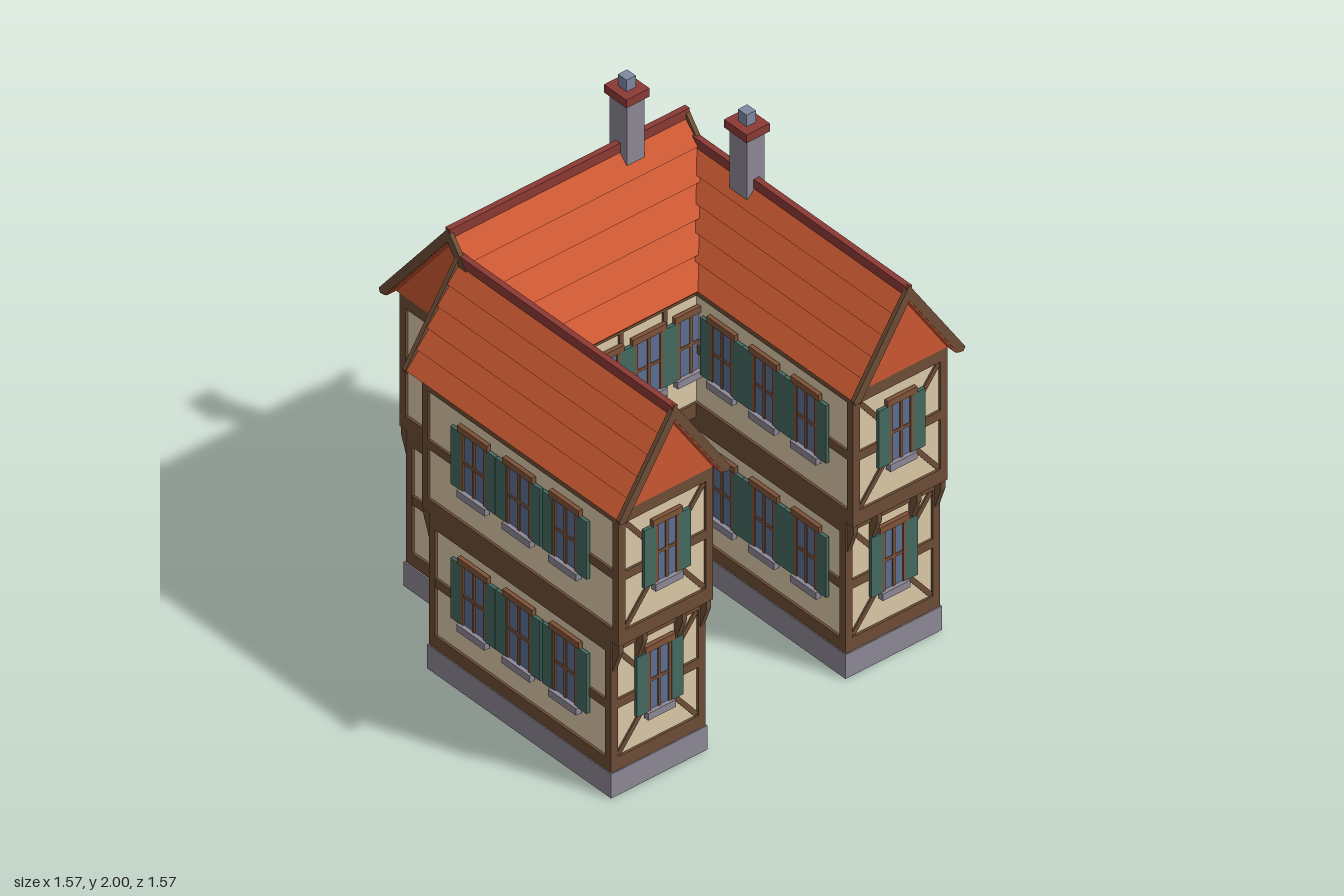
import * as THREE from 'three';

const mat = (name, color) => {
  const m = new THREE.MeshStandardMaterial({ color });
  m.name = name;
  return m;
};

export function createModel() {
  const plaster = mat('plaster', 0xdccaa9), timber = mat('timber', 0x6d4d36), frameWood = mat('frame wood', 0x7f5338);
  const stone = mat('stone', 0x8d8896), tile = mat('roof tile', 0xcb5832), ridgeRed = mat('ridge red', 0x8c3a34);
  const shutterGreen = mat('shutter green', 0x446a60), glass = mat('glass', 0x5d6f92), pot = mat('chimney pot', 0x8088a0);

  const house = new THREE.Group();
  house.name = 'timberHouse';

  const group = (parent, name) => {
    const g = new THREE.Group();
    g.name = name;
    parent.add(g);
    return g;
  };
  const mesh = (parent, name, geo, m) => {
    const o = new THREE.Mesh(geo, m);
    o.name = name;
    parent.add(o);
    return o;
  };
  // Box given by its min and max corners
  const box = (parent, name, m, x0, x1, y0, y1, z0, z1) => {
    const o = mesh(parent, name, new THREE.BoxGeometry(x1 - x0, y1 - y0, z1 - z0), m);
    o.position.set((x0 + x1) / 2, (y0 + y1) / 2, (z0 + z1) / 2);
    return o;
  };
  // Extruded outline, centred along its depth
  const prism = (parent, name, m, pts, depth) => {
    const shape = new THREE.Shape(pts.map(p => new THREE.Vector2(p[0], p[1])));
    const geo = new THREE.ExtrudeGeometry(shape, { depth, bevelEnabled: false });
    geo.translate(0, 0, -depth / 2);
    return mesh(parent, name, geo, m);
  };

  // Window with frame, cross bars, lintel, sill and a pair of shutters
  function windowUnit(parent, x, y0, y1, w, sh) {
    const g = group(parent, 'window');
    g.position.x = x;
    const h = w / 2;
    box(g, 'glass', glass, -h, h, y0, y1, -0.002, 0.003);
    for (const s of [-1, 1]) {
      box(g, 'jamb', frameWood, s * (h - 0.006) - 0.006, s * (h - 0.006) + 0.006, y0, y1, 0, 0.009);
      const c = s * (h + sh / 2);
      box(g, 'shutter', shutterGreen, c - sh / 2, c + sh / 2, y0, y1, -0.004, 0.01);
    }
    box(g, 'mullion', frameWood, -0.006, 0.006, y0, y1, 0, 0.008);
    const mid = y0 + (y1 - y0) * 0.5;
    box(g, 'transom', frameWood, -h, h, mid - 0.006, mid + 0.006, 0, 0.007);
    box(g, 'lintel', frameWood, -h - 0.015, h + 0.015, y1, y1 + 0.027, -0.004, 0.013);
    box(g, 'sill', stone, -h - 0.01, h + 0.01, y0 - 0.028, y0 + 0.002, -0.004, 0.02);
  }

  // Timber framing of one wall on one storey; local +z points outwards
  const levels = {
    ground: { y0: 0.1, b: 0.16, t: 0.62, y1: 0.676, rail: 0.37, w0: 0.298, w1: 0.557 },
    upper: { y0: 0.674, b: 0.734, t: 1.2, y1: 1.25, rail: 0.95, w0: 0.88, w1: 1.13 },
  };
  function wall(parent, name, lv, x, z, ry, width, o = {}) {
    const g = group(parent, name), h = width / 2, L = levels[lv];
    g.position.set(x, 0, z);
    g.rotation.y = ry;
    const beam = (n, x0, x1, y0, y1, d = 0) => box(g, n, timber, x0, x1, y0, y1, -0.02, d);
    beam('bottomBeam', -h, h, L.y0, L.b);
    beam('topBeam', -h, h, L.t, L.y1);
    beam('rail', -h, h, L.rail, L.rail + 0.038, -0.001);
    for (const s of [-1, 1]) beam('post', s * (h - 0.016) - 0.016, s * (h - 0.016) + 0.016, L.y0, L.y1);
    for (const sx of o.studs || []) beam('stud', sx - 0.009, sx + 0.009, L.b, L.t, -0.002);
    if (o.cross) {
      const dx = width - 0.064, dy = L.t - L.b;
      for (const s of [-1, 1]) {
        const brace = mesh(g, 'brace', new THREE.BoxGeometry(Math.hypot(dx, dy) - 0.02, 0.02, 0.017), timber);
        brace.position.set(0, (L.t + L.b) / 2, -0.0115);
        brace.rotation.z = s * Math.atan2(dy, dx);
      }
    }
    // Brackets carrying the overhanging storey
    for (const bx of o.brackets || []) {
      const b = prism(g, 'bracket', timber, [[-0.01, 0.54], [0, 0.54], [0.036, 0.64], [0.036, 0.677], [-0.01, 0.677]], 0.02);
      b.geometry.rotateY(-Math.PI / 2);
      b.position.x = bx;
    }
    for (const wx of o.windows || []) windowUnit(g, wx, L.w0, L.w1, o.w || 0.125, o.sh || 0.053);
  }

  const P = Math.PI;
  const mainZ = -0.4175, wingX = 0.533, wingHalf = 0.215;

  // Two storeys of both wings and the rear main block
  for (const lv of ['ground', 'upper']) {
    const up = lv === 'upper', { y0, y1 } = levels[lv];
    const zf = up ? 0.735 : 0.695, zb = up ? -0.318 : -0.28;
    const body = (g, x0, x1, z0, z1) => {
      box(g, 'plasterWalls', plaster, x0 + 0.01, x1 - 0.01, y0 + 0.01, y1, z0 + 0.01, z1 - 0.01);
      if (up) box(g, 'overhangFloor', timber, x0 + 0.001, x1 - 0.001, y0, y0 + 0.02, z0 + 0.001, z1 - 0.001);
    };
    for (const s of [-1, 1]) {
      const g = group(house, (s > 0 ? 'left' : 'right') + 'Wing_' + lv);
      const cx = s * wingX, zc = (zf + zb) / 2, len = zf - zb;
      body(g, cx - wingHalf, cx + wingHalf, zb, zf);
      const ends = up ? [] : [-0.199, -0.09, 0.09, 0.199];
      wall(g, 'frontWall', lv, cx, zf, 0, 0.43, { cross: true, windows: [0], w: 0.105, brackets: ends });
      wall(g, 'backWall', lv, cx, zb, P, 0.43, { brackets: ends });
      const outer = [0.456, 0.207, -0.035].map(z => -s * (z - zc));
      wall(g, 'outerWall', lv, cx + s * wingHalf, zc, s * P / 2, len, { windows: outer, w: 0.13, sh: 0.055 });
      const inner = [0.49, 0.265, 0.04].map(z => s * (z - zc));
      wall(g, 'innerWall', lv, cx - s * wingHalf, zc, -s * P / 2, len, { windows: inner, w: 0.12, sh: 0.052 });
    }
    const m = group(house, 'mainBlock_' + lv);
    const half = up ? 0.3125 : 0.2775;
    body(m, -0.5, 0.5, mainZ - half, mainZ + half);
    const studs = [-0.42, -0.22, -0.02, 0.18, 0.38];
    const brackets = up ? [] : [-0.484, -0.37, -0.25, -0.13, 0, 0.13, 0.25, 0.37, 0.484];
    wall(m, 'frontWall', lv, 0, mainZ + half, 0, 1, {
      studs: up ? studs : [-0.22, -0.14, 0.18], brackets: brackets.filter(b => b),
      windows: up ? [-0.29, -0.097, 0.097, 0.29] : [-0.29, 0.29], w: 0.125, sh: up ? 0.066 : 0.045,
    });
    wall(m, 'backWall', lv, 0, mainZ - half, P, 1, { studs: [-0.22, 0, 0.22], brackets, windows: [-0.33, -0.11, 0.11, 0.33], w: 0.12, sh: 0.05 });
    for (const s of [-1, 1])
      wall(m, 'sideWall', lv, s * 0.5, mainZ, s * P / 2, half * 2, { windows: [0], w: 0.13, sh: 0.055 });
  }

  // Stone plinth
  const plinth = group(house, 'plinth');
  box(plinth, 'mainPlinth', stone, -0.506, 0.506, 0, 0.104, -0.702, -0.132);
  for (const s of [-1, 1])
    box(plinth, 'wingPlinth', stone, s * wingX - 0.219, s * wingX + 0.219, 0, 0.104, -0.286, 0.7);

  // Gabled roof along local z, laid in stepped tile courses
  function roof(name, half, ridgeY, z0, z1, g0, g1, courses) {
    const g = group(house, name), eave = 1.25;
    const bw = half - 0.018, h = ridgeY - 0.04 - eave, l = Math.hypot(bw, h);
    const nx = h / l, ny = bw / l;
    const at = (t, off) => [bw * (1 - t) + off * nx, eave + h * t + off * ny];
    const chevron = (right, drop) => [
      ...right, ...right.map(p => [-p[0], p[1]]).reverse(),
      [-(bw - drop), eave], [0, eave + h - drop * h / bw], [bw - drop, eave],
    ];
    const steps = [[bw + 0.006, eave]];
    for (let i = 0; i < courses; i++) steps.push(at(i / courses, 0.019), at((i + 1) / courses, 0.006));
    const put = (n, m, pts, a, b) => { prism(g, n, m, pts, b - a).position.z = (a + b) / 2; };
    put('tiles', tile, chevron(steps, 0.02), z0 + 0.004, z1 - 0.004);
    const board = [[bw + 0.012, eave - 0.004], at(0, 0.023), [0.001, eave + h + 0.023 / ny]];
    put('verge', timber, chevron(board, 0.014), z0, z0 + 0.018);
    put('verge', timber, chevron(board, 0.014), z1 - 0.018, z1);
    const tri = [[-bw, eave], [bw, eave], [0, eave + h]];
    put('gable', tile, tri, g0, g0 + 0.02);
    put('gable', tile, tri, g1 - 0.02, g1);
    box(g, 'ridgeCap', ridgeRed, -0.012, 0.012, ridgeY - 0.04, ridgeY, z0 + 0.002, z1 - 0.002);
    return g;
  }
  for (const s of [-1, 1])
    roof((s > 0 ? 'left' : 'right') + 'WingRoof', 0.252, 1.645, -0.38, 0.785, -0.318, 0.735, 5).position.x = s * wingX;
  const mainRoof = roof('mainRoof', 0.367, 1.73, -0.547, 0.547, -0.5, 0.5, 5);
  mainRoof.rotation.y = P / 2;
  mainRoof.position.z = -0.42;

  // Chimneys
  for (const [x, z, base, top] of [[0.27, -0.42, 1.645, 2], [0.53, -0.083, 1.57, 1.915]]) {
    const g = group(house, 'chimney');
    g.position.set(x, 0, z);
    box(g, 'stack', stone, -0.04, 0.04, base, top - 0.08, -0.047, 0.047);
    box(g, 'cap', ridgeRed, -0.053, 0.053, top - 0.085, top - 0.05, -0.06, 0.06);
    box(g, 'pot', pot, -0.021, 0.021, top - 0.05, top, -0.023, 0.023);
  }

  // Entrance door with canopy and steps
  const door = group(house, 'entrance');
  door.position.z = -0.14;
  box(door, 'doorLeaf', frameWood, -0.065, 0.065, 0.13, 0.51, -0.01, 0.008);
  box(door, 'doorPanel', timber, -0.045, 0.045, 0.16, 0.48, 0, 0.013);
  box(door, 'doorHead', timber, -0.085, 0.085, 0.5, 0.57, -0.01, 0.03);
  for (const s of [-1, 1])
    box(door, 'doorPost', timber, s * 0.074 - 0.012, s * 0.074 + 0.012, 0.105, 0.56, -0.01, 0.025);
  const canopy = prism(door, 'canopy', tile, [[-0.01, 0.585], [0.08, 0.585], [0.08, 0.59], [-0.01, 0.626]], 0.2);
  canopy.geometry.rotateY(-P / 2);
  box(door, 'canopyFascia', ridgeRed, -0.1, 0.1, 0.56, 0.588, -0.01, 0.083);
  box(door, 'upperStep', stone, -0.085, 0.085, 0.09, 0.133, -0.01, 0.08);
  box(door, 'lowerStep', stone, -0.07, 0.07, 0.064, 0.106, -0.01, 0.11);

  return house;
}
